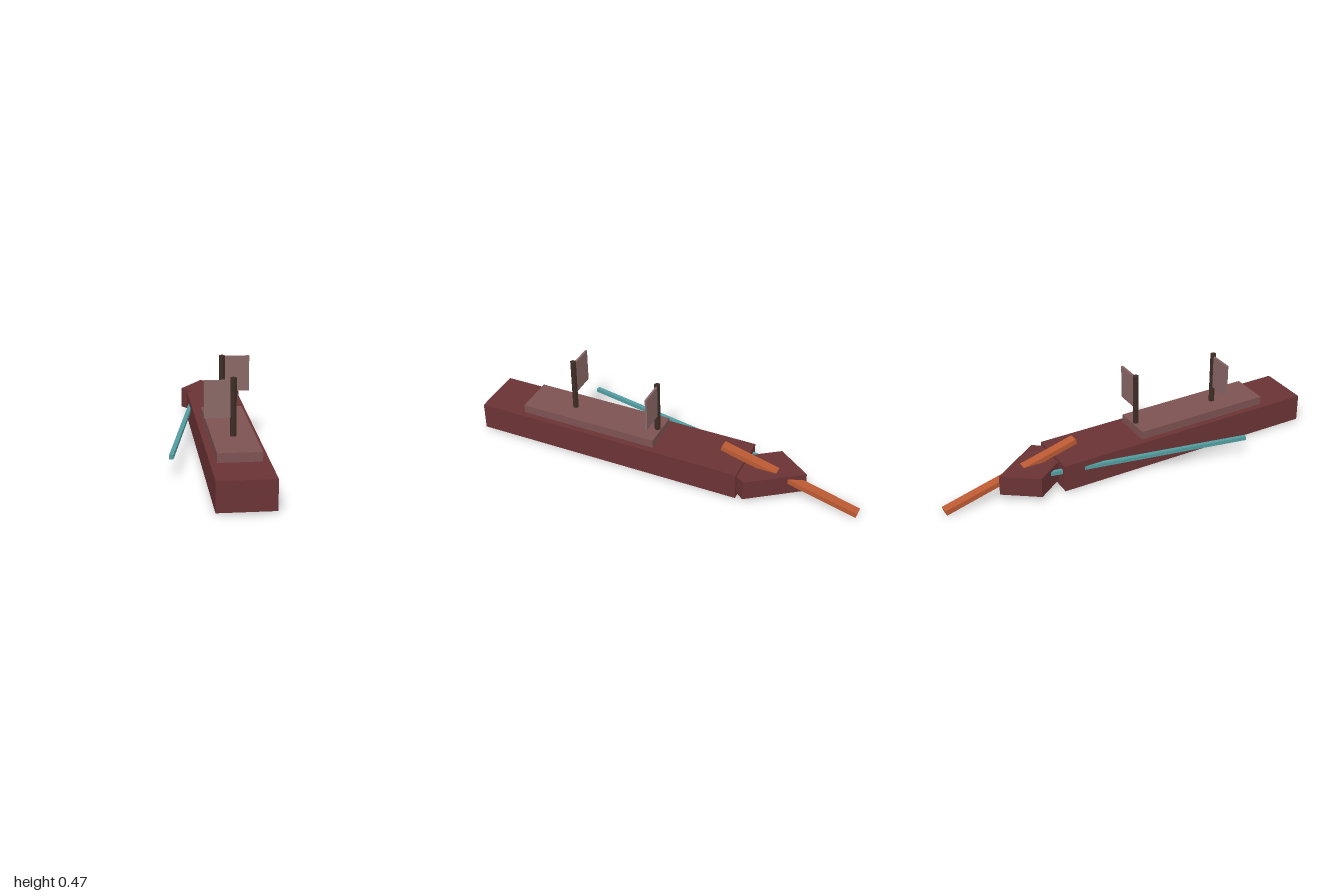
import * as THREE from 'three';

const mat = (color) => new THREE.MeshStandardMaterial({ color, flatShading: true });
const maroon = mat(0x6b3335);
const deckBrown = mat(0x7d5252);
const sailBrown = mat(0x8a6866);
const mastBrown = mat(0x3d2c26);
const orange = mat(0xbc5a32);
const teal = mat(0x529da0);

export function createModel() {
  const model = new THREE.Group();
  model.name = 'ship';

  const add = (name, geometry, material, x, y, z) => {
    const mesh = new THREE.Mesh(geometry, material);
    mesh.name = name;
    mesh.position.set(x, y, z);
    model.add(mesh);
    return mesh;
  };
  const box = (name, size, pos, material) =>
    add(name, new THREE.BoxGeometry(...size), material, ...pos);

  // Hull and raised deck
  const centre = 0.0715;
  box('hull', [0.267, 0.143, 1.415], [centre, 0.0815, 0.2925], maroon);
  box('deck', [0.203, 0.045, 0.73], [centre, 0.1745, 0.405], deckBrown);

  // Skewed four-cornered block at the rear end, partly inside the hull
  const corners = [[0.04, -0.72], [-0.082, -0.55], [0.102, -0.29], [0.2245, -0.46]];
  const outline = new THREE.Shape(corners.map(([x, z]) => new THREE.Vector2(x, -z)));
  const block = new THREE.ExtrudeGeometry(outline, { depth: 0.104, bevelEnabled: false });
  block.rotateX(-Math.PI / 2);
  add('endBlock', block, maroon, 0, 0.034, 0);

  // Six-sided masts, each with a thin sail on one side
  for (const [name, z, top, side] of [['front', 0.523, 0.472, -1], ['rear', 0.06, 0.465, 1]]) {
    const mast = new THREE.CylinderGeometry(0.016, 0.016, top - 0.18, 6);
    add(name + 'Mast', mast, mastBrown, centre, (top + 0.18) / 2, z);
    box(name + 'Sail', [0.135, 0.177, 0.01], [centre + side * 0.068, 0.3725, z - 0.002], sailBrown);
  }

  // Sloping beam through the end block
  const beam = box('slopingBeam', [0.047, 0.0265, 0.728], [centre, 0.1075, -0.645], orange);
  beam.rotation.x = -Math.PI / 12;

  // Long oar angled out from one side
  const start = new THREE.Vector2(-0.2155, 0.546);
  const angle = 0.19;
  const length = 1.06;
  const oar = box('oar', [0.0205, 0.02, length],
    [start.x + Math.sin(angle) * length / 2, 0.11, start.y - Math.cos(angle) * length / 2], teal);
  oar.rotation.y = -angle;

  return model;
}
